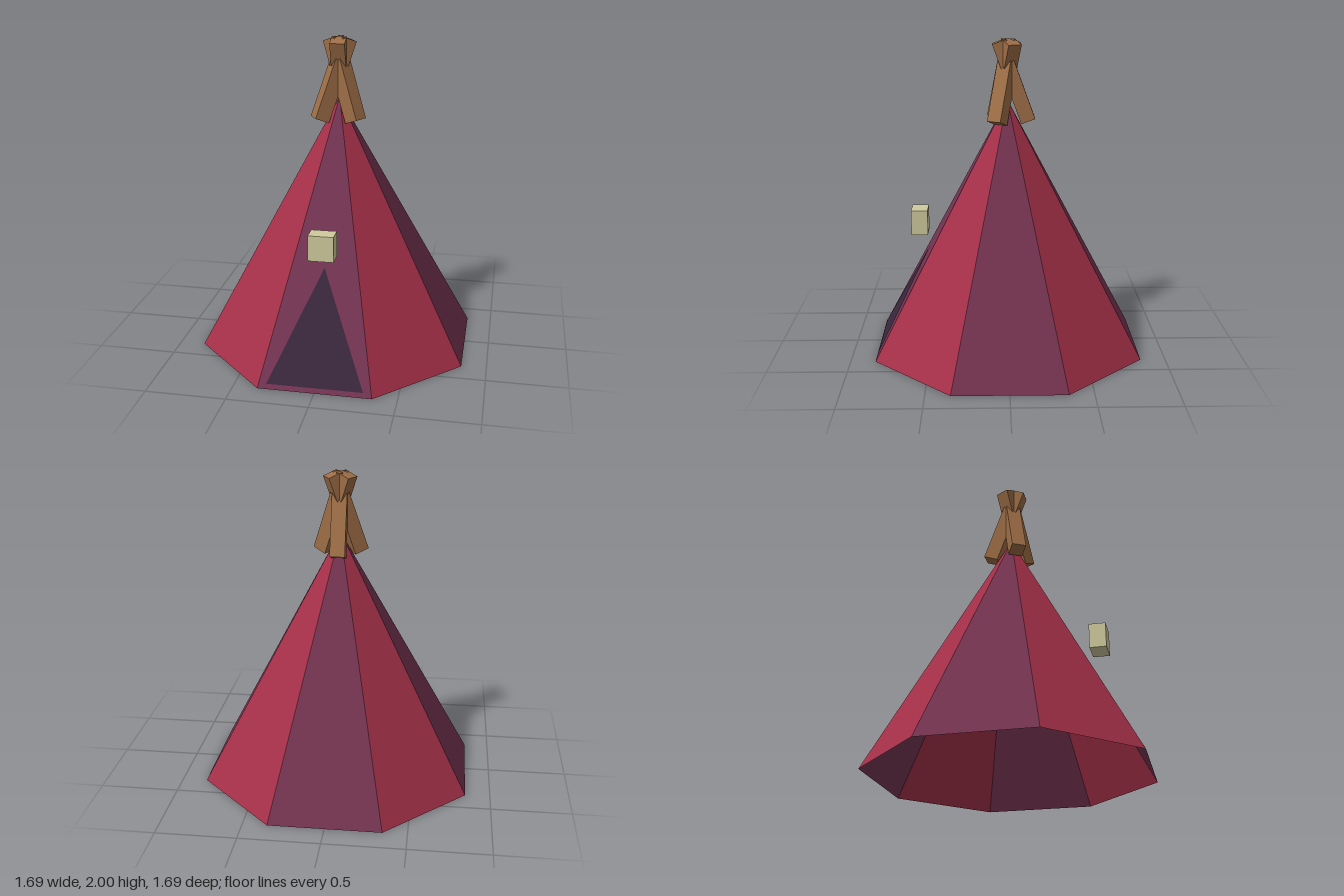
import * as THREE from 'three';

const HEIGHT = 1.62;   // tent apex
const APOTHEM = 0.843; // centre to middle of a base edge
const SIDES = 8;

function material(name, color, extra = {}) {
  return new THREE.MeshStandardMaterial({ name, color, ...extra });
}

export function createModel() {
  const red = material('red cloth', 0xa43049, { side: THREE.DoubleSide });
  const plum = material('plum cloth', 0x733350, { side: THREE.DoubleSide });
  const dark = material('dark opening', 0x3a273c, { side: THREE.DoubleSide });
  const wood = material('wood', 0x9e6e46);
  const cream = material('cream lantern', 0xcfca9d);

  const model = new THREE.Group();
  model.name = 'tent';
  const add = (name, geometry, mat, parent = model) => {
    const mesh = new THREE.Mesh(geometry, mat);
    mesh.name = name;
    parent.add(mesh);
    return mesh;
  };

  // Open-bottomed cloth cone; panels alternate plum and red, plum facing front
  const radius = APOTHEM / Math.cos(Math.PI / SIDES);
  const cloth = new THREE.ConeGeometry(radius, HEIGHT, SIDES, 1, true, -Math.PI / SIDES).toNonIndexed();
  cloth.computeVertexNormals();
  cloth.clearGroups();
  for (let i = 0; i < SIDES; i++) cloth.addGroup(i * 3, 3, i % 2);
  add('clothPanels', cloth, [plum, red]).position.y = HEIGHT / 2;

  // Triangular doorway lying on the front panel
  const slope = Math.hypot(HEIGHT, APOTHEM) / HEIGHT;
  const door = new THREE.Shape([
    new THREE.Vector2(-0.295, 0.03 * slope),
    new THREE.Vector2(0.295, 0.03 * slope),
    new THREE.Vector2(0, 0.67 * slope),
  ]);
  const doorway = add('doorway', new THREE.ShapeGeometry(door), dark);
  doorway.position.set(0, 0, APOTHEM + 0.005);
  doorway.rotation.x = -Math.atan(APOTHEM / HEIGHT);

  // Lantern hanging above the doorway
  add('lantern', new THREE.BoxGeometry(0.156, 0.16, 0.106), cream).position.set(0, 0.837, 0.565);

  // Three crossed poles at the apex
  for (let i = 0; i < 3; i++) {
    const holder = new THREE.Group();
    holder.name = 'pole' + (i + 1);
    holder.rotation.y = (i * Math.PI * 2) / 3;
    model.add(holder);
    const pole = add('poleBeam', new THREE.BoxGeometry(0.094, 0.53, 0.094), wood, holder);
    pole.position.set(0, 1.735, -0.04);
    pole.rotation.x = 0.35;
  }

  return model;
}
